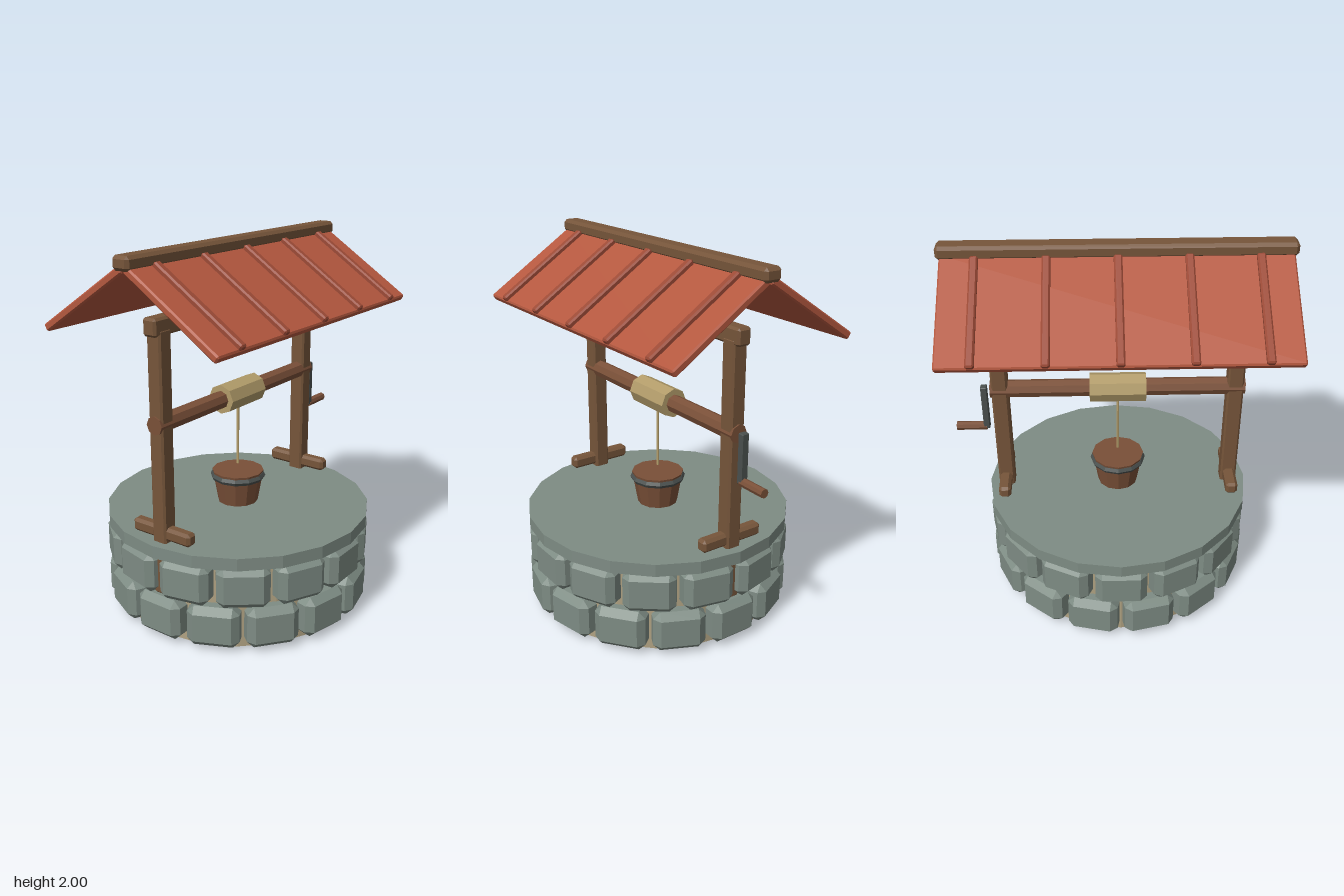
import * as THREE from 'three';
import { ConvexGeometry } from 'three/addons/geometries/ConvexGeometry.js';

const mat = (name, hex) => {
  const m = new THREE.MeshStandardMaterial({ color: hex });
  m.name = name;
  m.flatShading = true;
  return m;
};

// Box with every edge cut at 45 degrees
function chamferBox(w, h, d, c) {
  const points = [];
  for (const sx of [-1, 1]) for (const sy of [-1, 1]) for (const sz of [-1, 1]) {
    const x = w / 2, y = h / 2, z = d / 2;
    points.push(
      new THREE.Vector3(sx * x, sy * (y - c), sz * (z - c)),
      new THREE.Vector3(sx * (x - c), sy * y, sz * (z - c)),
      new THREE.Vector3(sx * (x - c), sy * (y - c), sz * z));
  }
  return new ConvexGeometry(points);
}

export function createModel() {
  const model = new THREE.Group();
  model.name = 'well';
  const stone = mat('stone', 0x7e8c84);
  const mortar = mat('mortar', 0xb0a282);
  const timber = mat('timber', 0x76553a);
  const brown = mat('brownWood', 0x7a5038);
  const tile = mat('roofRed', 0xb4583f);
  const batten = mat('battenRed', 0x9c4a36);
  const straw = mat('ropeTan', 0xb29c6a);
  const metal = mat('darkMetal', 0x4a504e);

  const add = (name, geometry, material, x = 0, y = 0, z = 0, parent = model) => {
    const mesh = new THREE.Mesh(geometry, material);
    mesh.name = name;
    mesh.position.set(x, y, z);
    parent.add(mesh);
    return mesh;
  };

  // Wall: mortar core, two staggered stone rows and a cap slab
  add('mortarCore', new THREE.CylinderGeometry(0.645, 0.645, 0.48, 20), mortar, 0, 0.24);
  add('capSlab', new THREE.CylinderGeometry(0.725, 0.725, 0.067, 20), stone, 0, 0.508);
  const count = 14;
  const stoneGeometry = chamferBox(0.272, 0.224, 0.15, 0.036);
  [0.133, 0.362].forEach((y, row) => {
    for (let i = 0; i < count; i++) {
      const a = (i + (row === 0 ? 0.5 : 0)) / count * Math.PI * 2;
      add('wallStone', stoneGeometry, stone, Math.sin(a) * 0.643, y, Math.cos(a) * 0.643)
        .rotation.y = a;
    }
  });

  // Posts with feet
  for (const side of [-1, 1]) {
    add('post', chamferBox(0.088, 1.39, 0.086, 0.01), timber, side * 0.628, 0.94);
    add('postFoot', chamferBox(0.065, 0.07, 0.37, 0.015), timber, side * 0.63, 0.588);
  }
  add('topBeam', chamferBox(1.4, 0.09, 0.08, 0.012), timber, 0, 1.648);

  // Windlass
  add('axle', new THREE.CylinderGeometry(0.048, 0.048, 1.36, 8), brown, 0, 1.163)
    .rotation.z = Math.PI / 2;
  add('ropeDrum', new THREE.CylinderGeometry(0.079, 0.079, 0.3, 8), straw, 0, 1.163)
    .rotation.z = Math.PI / 2;
  add('rope', new THREE.CylinderGeometry(0.008, 0.008, 0.36, 6), straw, 0, 0.937);
  add('crankArm', chamferBox(0.034, 0.265, 0.042, 0.004), metal, 0.715, 1.048);
  add('crankHandle', new THREE.CylinderGeometry(0.024, 0.024, 0.165, 8), brown, 0.797, 0.924)
    .rotation.z = Math.PI / 2;

  // Bucket
  add('bucket', new THREE.CylinderGeometry(0.143, 0.11, 0.185, 12), brown, 0, 0.63);
  add('bucketBand', new THREE.TorusGeometry(0.133, 0.02, 6, 12), metal, 0, 0.693)
    .rotation.x = Math.PI / 2;

  // Roof: two mirrored slopes with battens, capped by a ridge beam
  for (const turn of [0, Math.PI]) {
    const half = new THREE.Group();
    half.name = 'roofHalf';
    half.rotation.y = turn;
    const slope = new THREE.Group();
    slope.name = 'roofSlope';
    slope.position.y = 1.922;
    slope.rotation.x = 0.578;
    add('roofPanel', chamferBox(1.72, 0.04, 0.61, 0.008), tile, 0, 0.02, 0.305, slope);
    for (let i = -2; i <= 2; i++) {
      add('roofBatten', chamferBox(0.042, 0.034, 0.585, 0.008), batten,
        i * 0.345, 0.048, 0.3175, slope);
    }
    half.add(slope);
    model.add(half);
  }
  add('ridgeBeam', chamferBox(1.755, 0.07, 0.1, 0.016), timber, 0, 1.965);

  return model;
}
